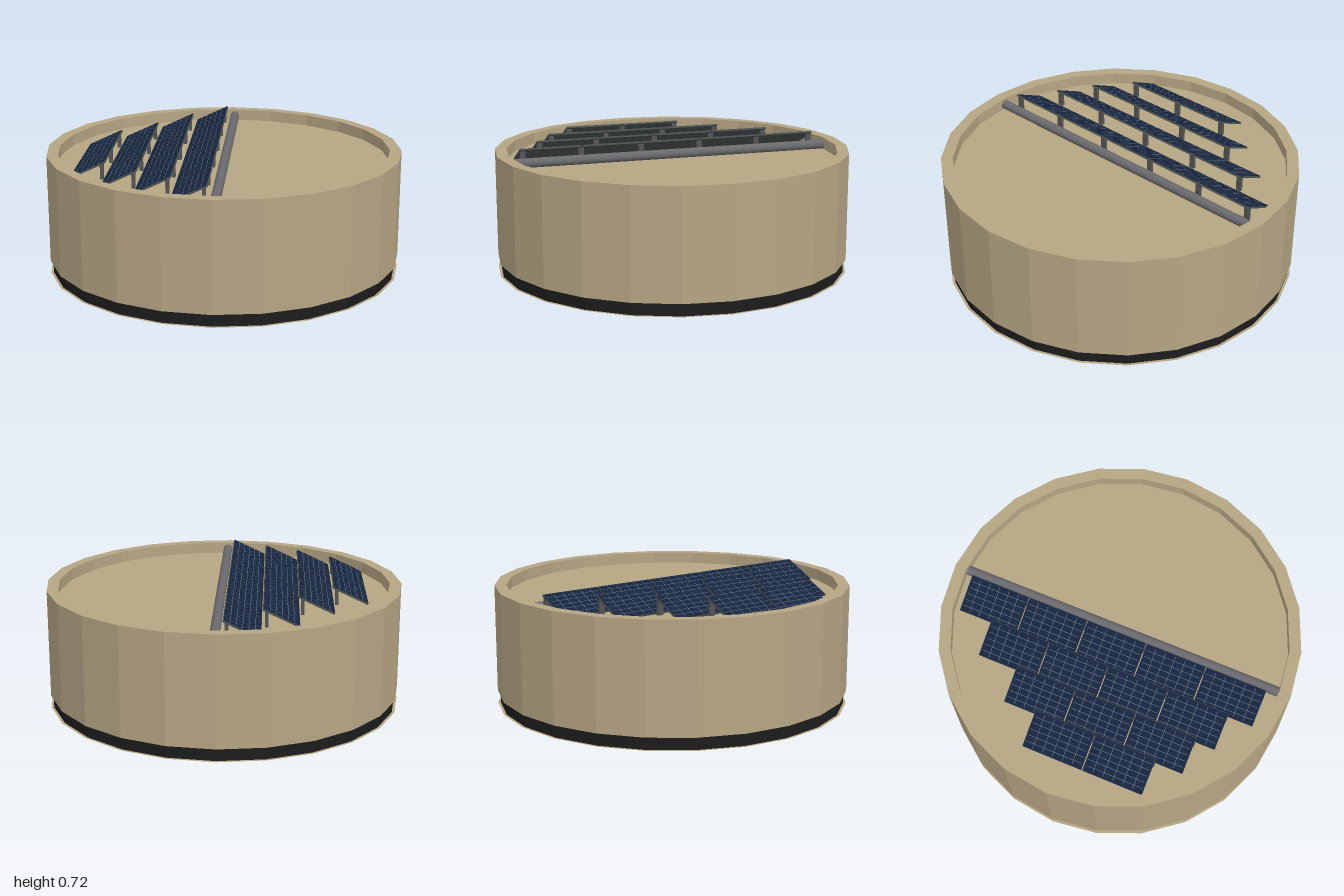
import * as THREE from 'three';
import { mergeGeometries } from 'three/addons/utils/BufferGeometryUtils.js';

const mat = (color, extra = {}) => new THREE.MeshStandardMaterial({ color, ...extra });
const SIDES = 24, FLOOR = 0.615;
const TILT = 0.44, PITCH = 0.35, SPAN = 0.19;

function add(parent, name, geometry, material) {
  const mesh = new THREE.Mesh(geometry, material);
  mesh.name = name;
  parent.add(mesh);
  return mesh;
}

// flat strip lying in the xz plane, facing up
function strip(w, d, x, y, z) {
  return new THREE.PlaneGeometry(w, d).rotateX(-Math.PI / 2).translate(x, y, z);
}

export function createModel() {
  const model = new THREE.Group();
  model.name = 'roundBuilding';
  const tan = mat(0xb5a583, { flatShading: true, side: THREE.DoubleSide });
  const black = mat(0x1c1c1c, { flatShading: true });
  const steel = mat(0x6a6a6e);
  const postGrey = mat(0x555555);
  const frameGrey = mat(0x4a5050);
  const navy = mat(0x14233d);
  const lineGrey = mat(0x66717a);

  // wall, parapet and sunken roof in one turned profile
  const profile = [[0.985, 0.07], [1, 0.07], [1, 0.68], [0.935, 0.68], [0.935, FLOOR], [0, FLOOR]]
    .map(([r, y]) => new THREE.Vector2(r, y));
  add(model, 'wallAndRoof', new THREE.LatheGeometry(profile, SIDES), tan);

  // recessed dark plinth on a thin ground plate
  add(model, 'plinth', new THREE.CylinderGeometry(0.985, 0.985, 0.07, SIDES, 1, true).translate(0, 0.035, 0), black);
  add(model, 'groundPlate', new THREE.CircleGeometry(1, SIDES).rotateX(Math.PI / 2), tan);

  // pipe across the roof
  add(model, 'roofPipe', new THREE.CylinderGeometry(0.027, 0.027, 1.86, 16).rotateX(Math.PI / 2)
    .translate(0.012, FLOOR + 0.027, 0), steel);

  // one solar panel: frame, cell sheet and grid lines, centred and level
  const W = SPAN / Math.cos(TILT), D = PITCH - 0.006, T = 0.01;
  const frameGeo = new THREE.BoxGeometry(W, T, D);
  const cellGeo = strip(W - 0.003, D - 0.003, 0, T / 2 + 0.0008, 0);
  const lines = [];
  for (let i = 1; i < 6; i++) {
    lines.push(strip(0.003, D - 0.02, (i / 6 - 0.5) * W, T / 2 + 0.0016, 0));
    lines.push(strip(W - 0.02, 0.003, 0, T / 2 + 0.0016, (i / 6 - 0.5) * D));
  }
  const lineGeo = mergeGeometries(lines);

  // rows: right edge x, first z, panel count
  const rows = [[-0.03, -0.88, 5], [-0.23, -0.67, 4], [-0.42, -0.43, 3], [-0.61, -0.235, 2]];
  for (const [right, z0, count] of rows) {
    const row = new THREE.Group();
    row.name = 'solarRow';
    model.add(row);
    for (let i = 0; i < count; i++) {
      const panel = new THREE.Group();
      panel.name = 'solarPanel';
      panel.position.set(right - SPAN / 2, 0.666, z0 + (i + 0.5) * PITCH);
      panel.rotation.z = TILT;
      add(panel, 'frame', frameGeo, frameGrey);
      add(panel, 'cells', cellGeo, navy);
      add(panel, 'cellLines', lineGeo, lineGrey);
      row.add(panel);
    }
    // posts under the raised edge, at each seam and at both ends
    for (let i = 0; i <= count; i++) {
      const inset = i === 0 ? 0.018 : i === count ? -0.018 : 0;
      const h = 0.082;
      add(row, 'post', new THREE.BoxGeometry(0.018, h, 0.03)
        .translate(right - 0.018, FLOOR + h / 2, z0 + i * PITCH + inset), postGrey);
    }
  }
  return model;
}
